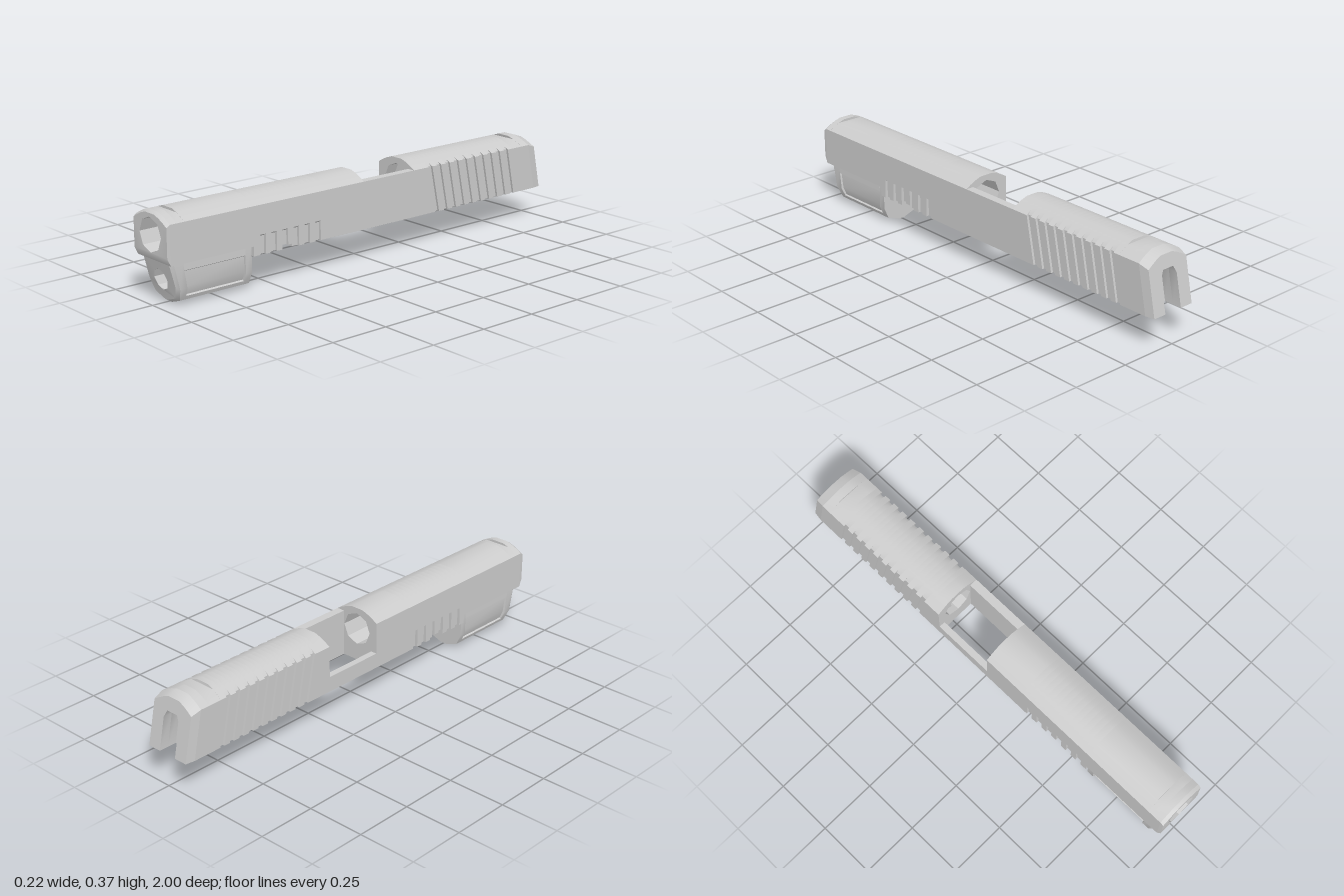
import * as THREE from 'three';
import { toCreasedNormals } from 'three/addons/utils/BufferGeometryUtils.js';

const material = new THREE.MeshStandardMaterial({ color: 0xcccccc });
const BORE_Y = 0.277, ROD_Y = 0.095;

// Closed shape from the +x half of a symmetric outline, listed from bottom to top
function mirrored(half) {
  const left = half.slice().reverse().map(([x, y]) => [-x, y]);
  return new THREE.Shape([...half, ...left].map(([x, y]) => new THREE.Vector2(x, y)));
}

function octagon(y, r) {
  const pts = [];
  for (let i = 0; i < 8; i++) {
    const a = i * Math.PI / 4;
    pts.push(new THREE.Vector2(Math.sin(a) * r, y + Math.cos(a) * r));
  }
  return new THREE.Path(pts);
}

// Main cross-section: rounded top, straight sides, optional bore, cut lower side or rear arch
function bodyShape({ w = 0.108, lower = w, bottom = 0.135, flat = false, bore = false, arch = false }) {
  const half = arch
    ? [[0.027, 0.3], [0.042, 0.27], [0.042, bottom]]
    : [];
  half.push([lower, bottom]);
  if (lower !== w) half.push([lower, 0.208], [w, 0.216]);
  half.push([w, 0.335]);
  if (flat) half.push([0.06, 0.36]);
  else half.push([0.085, 0.348], [0.06, 0.36], [0.03, 0.37]);
  const shape = mirrored(half);
  if (bore) shape.holes.push(octagon(BORE_Y, 0.07));
  return shape;
}

// Extrude from z0 to z1, then move the vertices by an optional rule
function extrude(shape, z0, z1, rule) {
  const geo = new THREE.ExtrudeGeometry(shape, { depth: z1 - z0, bevelEnabled: false });
  geo.translate(0, 0, z0);
  if (rule) {
    const p = geo.attributes.position, v = new THREE.Vector3();
    for (let i = 0; i < p.count; i++) {
      rule(v.fromBufferAttribute(p, i));
      p.setXYZ(i, v.x, v.y, v.z);
    }
  }
  return toCreasedNormals(geo, 0.6);
}

// Lean everything toward the back so that the rear face slopes
function lean(v) {
  if (v.z < -0.3) v.z += (v.y - 0.25) * 0.21;
}

export function createModel() {
  const model = new THREE.Group();
  const add = (name, geo, parent = model) => {
    const mesh = new THREE.Mesh(geo, material);
    mesh.name = name;
    parent.add(mesh);
    return mesh;
  };
  const group = (name) => {
    const g = new THREE.Group();
    g.name = name;
    model.add(g);
    return g;
  };

  // Front body with muzzle bevel and a shallow sight cut
  const front = group('frontBody');
  add('muzzleBevel', extrude(bodyShape({ bottom: 0.175, bore: true }), 0.985, 1, (v) => {
    if (v.z < 0.99 || Math.hypot(v.x, v.y - BORE_Y) < 0.075) return;
    v.x *= 0.99;
    if (v.y < 0.18) v.y = 0.205;
    else v.y -= 0.01;
  }), front);
  add('muzzleSection', extrude(bodyShape({ bottom: 0.175, bore: true }), 0.955, 0.985), front);
  add('frontSightCut', extrude(bodyShape({ bottom: 0.175, bore: true, flat: true }), 0.92, 0.955), front);
  add('upperFront', extrude(bodyShape({ bottom: 0.175, bore: true }), 0.6, 0.92), front);
  add('frontShoulder', extrude(bodyShape({ bore: true }), 0.57, 0.6), front);

  // Short grip grooves along the lower front sides, with a notch underneath
  const frontGrip = group('frontGripGrooves');
  for (let i = 0; i < 6; i++) {
    const z = 0.57 - i * 0.055;
    const bottom = i === 2 ? 0.15 : 0.135;
    add('groove', extrude(bodyShape({ lower: 0.096, bottom, bore: true }), z - 0.028, z), frontGrip);
    add('ridge', extrude(bodyShape({ bottom, bore: true }), z - 0.055, z - 0.028), frontGrip);
  }
  add('middleBody', extrude(bodyShape({ bore: true }), 0.04, 0.24));

  // Open window: tall wall on the left, low wall on the right, open floor
  const wallGroup = group('windowWalls');
  const wall = (name, x0, x1, top) => {
    const mesh = add(name, new THREE.BoxGeometry(x1 - x0, top - 0.135, 0.275), wallGroup);
    mesh.position.set((x0 + x1) / 2, (top + 0.135) / 2, -0.0975);
  };
  wall('leftWall', 0.072, 0.108, 0.335);
  wall('rightWall', -0.108, -0.08, 0.2);

  // Breech with a recessed face
  add('breechRing', extrude(bodyShape({ bore: true }), -0.29, -0.235));
  add('breechBlock', extrude(bodyShape({}), -0.335, -0.29, lean));
  const extractor = add('extractor', new THREE.BoxGeometry(0.045, 0.035, 0.03));
  extractor.position.set(-0.036, 0.232, -0.277);

  // Sloping rear grip grooves
  const rearGrip = group('rearGripGrooves');
  for (let i = 0; i < 10; i++) {
    const z = -0.335 - i * 0.05;
    add('groove', extrude(bodyShape({ w: 0.098 }), z - 0.022, z, lean), rearGrip);
    add('ridge', extrude(bodyShape({}), z - 0.05, z - 0.022, lean), rearGrip);
  }

  // Rear end: sight cut, arched opening and chamfered back face
  const rear = group('rearEnd');
  add('rearSightCut', extrude(bodyShape({ flat: true }), -0.895, -0.835, lean), rear);
  add('rearArch', extrude(bodyShape({ arch: true }), -0.935, -0.895, lean), rear);
  add('rearChamfer', extrude(bodyShape({ arch: true }), -0.975, -0.935, (v) => {
    if (v.z < -0.96) {
      if (Math.abs(v.x) > 0.05) v.x *= 0.94;
      if (v.y > 0.32) v.y -= 0.015;
    }
    lean(v);
  }), rear);

  // Guide rod housing under the muzzle, with a side panel recess and sloping front
  const housing = group('rodHousing');
  const plain = [[0.015, 0], [0.072, 0.02], [0.094, 0.07], [0.092, 0.178]];
  const recessed = [[0.015, 0], [0.072, 0.02], [0.078, 0.035], [0.072, 0.04], [0.084, 0.075],
    [0.084, 0.137], [0.093, 0.142], [0.092, 0.178]];
  const rodShape = (half, open) => {
    const shape = mirrored(half);
    if (open) shape.holes.push(octagon(ROD_Y, 0.044));
    return shape;
  };
  add('housingBack', extrude(rodShape(plain, false), 0.6, 0.63), housing);
  add('sidePanels', extrude(rodShape(recessed, true), 0.63, 0.9, (v) => {
    // Panel ends follow the slope of the front
    if (v.z > 0.8) v.z += (v.y - 0.04) * 0.15;
  }), housing);
  add('housingFront', extrude(rodShape(plain, true), 0.9, 0.93, (v) => {
    v.z += (v.y - 0.04) * (v.z > 0.91 ? 0.24 : 0.15);
  }), housing);
  add('housingBevel', extrude(rodShape(plain, true), 0.93, 0.945, (v) => {
    const outer = Math.hypot(v.x, v.y - ROD_Y) > 0.05;
    v.z += (v.y - 0.04) * 0.24;
    if (outer && v.z > 0.9 && v.z - (v.y - 0.04) * 0.24 > 0.94) {
      v.x *= 0.9;
      if (v.y < 0.1) v.y += 0.011;
    }
  }), housing);

  return model;
}
